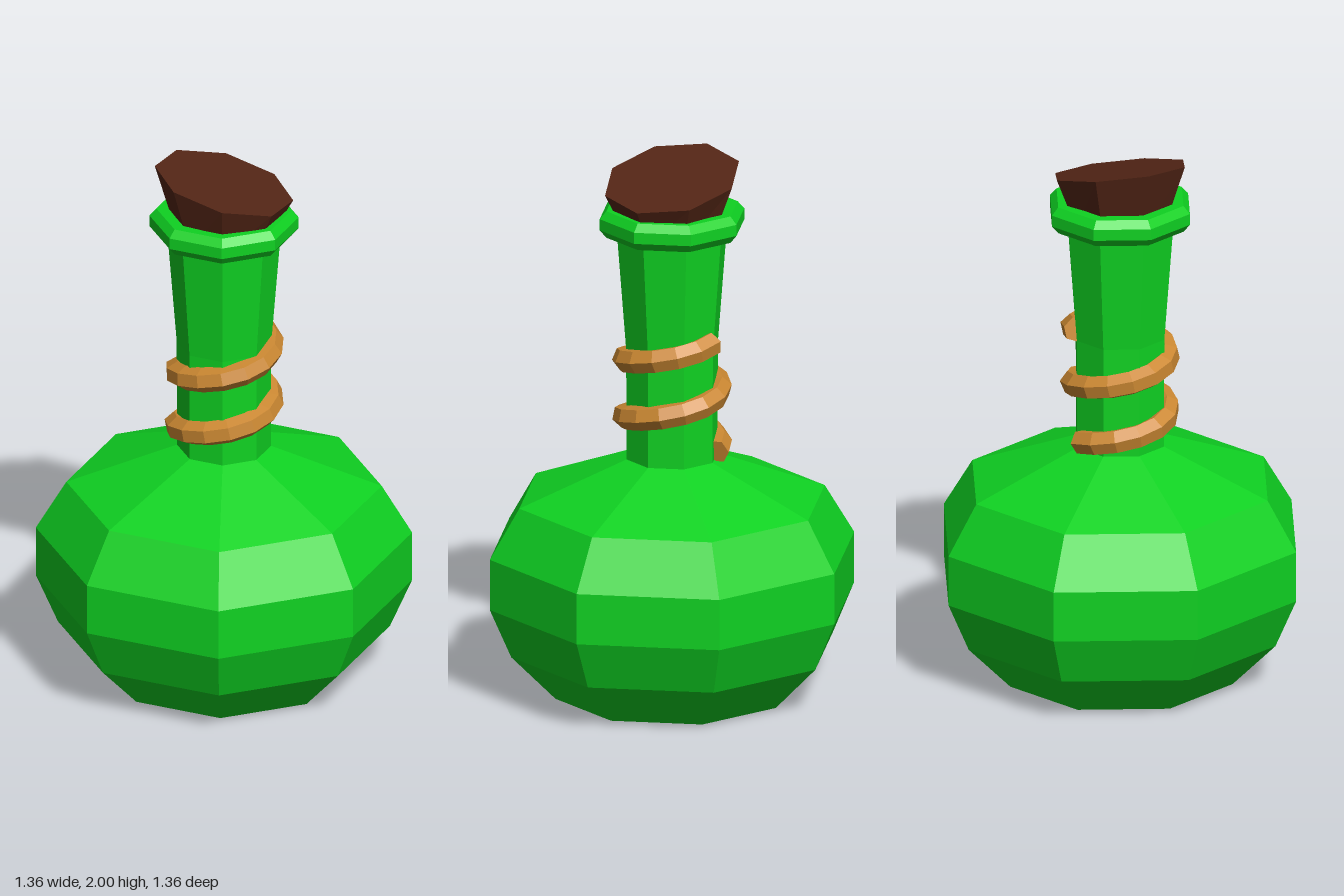
import * as THREE from 'three';

const SIDES = 8;

function paint(color) {
  return new THREE.MeshStandardMaterial({ color, flatShading: true });
}

function addPart(group, name, geometry, material) {
  const mesh = new THREE.Mesh(geometry, material);
  mesh.name = name;
  group.add(mesh);
  return mesh;
}

function lathe(profile) {
  return new THREE.LatheGeometry(profile.map(([r, y]) => new THREE.Vector2(r, y)), SIDES);
}

// Rising coil that starts and ends at the back of the neck
class Coil extends THREE.Curve {
  constructor(radius, y0, y1, start, turns) {
    super();
    Object.assign(this, { radius, y0, y1, start, turns });
  }
  getPoint(t, target = new THREE.Vector3()) {
    const a = this.start + t * this.turns * Math.PI * 2;
    return target.set(
      Math.sin(a) * this.radius,
      THREE.MathUtils.lerp(this.y0, this.y1, t),
      Math.cos(a) * this.radius
    );
  }
}

// Flat fan closing one end ring of a tube
function tubeCap(tube, ring, radialSegments) {
  const source = tube.attributes.position;
  const points = [];
  for (let i = 0; i < radialSegments; i++) {
    points.push(new THREE.Vector3().fromBufferAttribute(source, ring * (radialSegments + 1) + i));
  }
  const corners = [];
  for (let i = 1; i < radialSegments - 1; i++) corners.push(points[0], points[i], points[i + 1]);
  const cap = new THREE.BufferGeometry().setFromPoints(corners);
  cap.computeVertexNormals();
  return cap;
}

export function createModel() {
  const model = new THREE.Group();
  model.name = 'potionBottle';
  const glass = paint(0x0fd222);
  const cork = paint(0x542616);
  const cord = paint(0xcb8832);
  const cordEnd = paint(0xcb8832);
  cordEnd.side = THREE.DoubleSide;

  // Faceted round body with its shoulder
  addPart(model, 'body', lathe([
    [0, 0], [0.435, 0], [0.6, 0.17], [0.68, 0.355], [0.68, 0.545], [0.57, 0.73], [0.17, 0.885]
  ]), glass);

  // Neck flaring slightly towards the mouth
  addPart(model, 'neck', lathe([[0.17, 0.885], [0.171, 1.3], [0.205, 1.735]]), glass);

  // Bevelled lip with the inside of the mouth
  addPart(model, 'lip', lathe([
    [0.2, 1.73], [0.245, 1.73], [0.27, 1.76], [0.27, 1.802], [0.245, 1.83],
    [0.2, 1.83], [0.165, 1.7], [0, 1.7]
  ]), glass);

  // Tapered stopper, its top cut at a slant
  const stopper = new THREE.CylinderGeometry(0.25, 0.17, 0.205, SIDES);
  stopper.translate(0, 1.8325, 0);
  const pos = stopper.attributes.position;
  for (let i = 0; i < pos.count; i++) {
    if (pos.getY(i) > 1.83) pos.setY(i, 1.935 - 0.26 * pos.getX(i));
  }
  addPart(model, 'stopper', stopper, cork);

  // Cord wound twice around the neck
  const segments = 28;
  const radial = 6;
  const coil = new Coil(0.172, 0.92, 1.34, Math.PI * 1.06, 1.96);
  const tube = new THREE.TubeGeometry(coil, segments, 0.046, radial, false);
  const rope = new THREE.Group();
  rope.name = 'rope';
  addPart(rope, 'ropeCoil', tube, cord);
  addPart(rope, 'ropeLowerEnd', tubeCap(tube, 0, radial), cordEnd);
  addPart(rope, 'ropeUpperEnd', tubeCap(tube, segments, radial), cordEnd);
  model.add(rope);

  return model;
}
